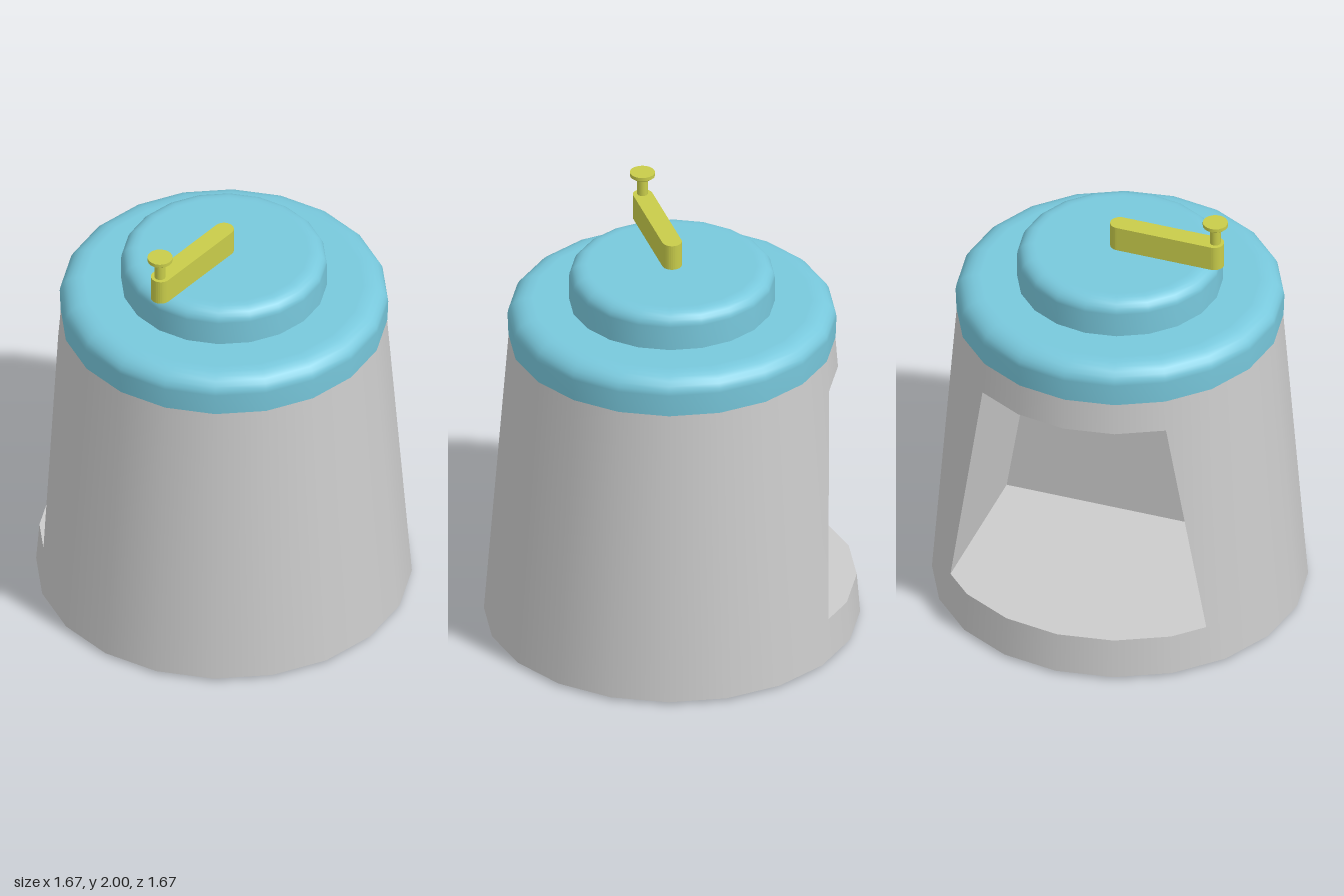
import * as THREE from 'three';

const SIDES = 20;
const grey = new THREE.MeshStandardMaterial({ color: 0xcccccc });
const blue = new THREE.MeshStandardMaterial({ color: 0x78c8dc });
const yellow = new THREE.MeshStandardMaterial({ color: 0xc8cc4a });

// Outer radius of the tapered body at a height
const radiusAt = (y) => 0.835 - 0.0786 * (y - 0.01);

function add(group, name, geometry, material, x = 0, y = 0, z = 0) {
  const mesh = new THREE.Mesh(geometry, material);
  mesh.name = name;
  mesh.position.set(x, y, z);
  group.add(mesh);
  return mesh;
}

// Full ring of the body between two heights
function frustum(y0, y1) {
  return new THREE.CylinderGeometry(radiusAt(y1), radiusAt(y0), y1 - y0, SIDES).translate(0, (y0 + y1) / 2, 0);
}

// Wall strip between two polylines of [x, z] points
function strip(low, high, y0, y1, round) {
  const pos = [];
  for (let i = 0; i < low.length - 1; i++) {
    const a = [low[i][0], y0, low[i][1]];
    const b = [low[i + 1][0], y0, low[i + 1][1]];
    const c = [high[i + 1][0], y1, high[i + 1][1]];
    const d = [high[i][0], y1, high[i][1]];
    pos.push(...a, ...b, ...c, ...a, ...c, ...d);
  }
  const geo = new THREE.BufferGeometry();
  geo.setAttribute('position', new THREE.Float32BufferAttribute(pos, 3));
  geo.computeVertexNormals();
  if (round) {
    const p = geo.attributes.position;
    const n = new THREE.Vector3();
    for (let i = 0; i < p.count; i++) {
      n.set(p.getX(i), 0, p.getZ(i)).normalize().setY(0.0786).normalize();
      geo.attributes.normal.setXYZ(i, n.x, n.y, n.z);
    }
  }
  return geo;
}

// Outline of the notched body: t slides the opening edge along one facet
function notchedOutline(y, t) {
  const r = radiusAt(y);
  const at = (k) => {
    const a = (k * Math.PI * 2) / SIDES;
    return [-r * Math.cos(a), r * Math.sin(a)];
  };
  const [p, q] = [at(2), at(3)];
  const edge = [p[0] + (q[0] - p[0]) * t, p[1] + (q[1] - p[1]) * t];
  const mirror = [edge[0], -edge[1]];
  const outer = [edge];
  for (let k = 3; k <= SIDES - 3; k++) outer.push(at(k));
  outer.push(mirror);
  const inner = [mirror, [0.19, mirror[1]], [0.19, edge[1]], edge];
  return { outer, inner };
}

// Round cap with a rolled top edge
function roundedCap(r0, r, y0, y1, bevelX, bevelY) {
  const pts = [new THREE.Vector2(r0, y0)];
  for (let i = 0; i <= 6; i++) {
    const a = (i / 6) * Math.PI / 2;
    pts.push(new THREE.Vector2(r - bevelX + bevelX * Math.cos(a), y1 - bevelY + bevelY * Math.sin(a)));
  }
  pts.push(new THREE.Vector2(r - bevelX - 0.01, y1), new THREE.Vector2(0, y1));
  return new THREE.LatheGeometry(pts, SIDES);
}

export function createModel() {
  const model = new THREE.Group();
  model.name = 'crankContainer';

  // Body: solid foot, notched middle, solid collar
  const body = new THREE.Group();
  body.name = 'body';
  model.add(body);
  const ledge = 0.2, ceiling = 1.26, rim = 1.41;
  add(body, 'foot', frustum(0.012, ledge), grey);
  add(body, 'collar', frustum(ceiling, rim), grey);
  const low = notchedOutline(ledge, 0.67);
  const high = notchedOutline(ceiling, 0);
  add(body, 'outerWall', strip(low.outer, high.outer, ledge, ceiling, true), grey);
  add(body, 'openingWalls', strip(low.inner, high.inner, ledge, ceiling, false), grey);
  const under = [new THREE.Vector2(0, 0), new THREE.Vector2(radiusAt(0.01), 0.012)];
  add(body, 'underside', new THREE.LatheGeometry(under, SIDES), grey);

  // Stepped lid
  add(model, 'lid', roundedCap(0.726, 0.73, rim, 1.595, 0.1, 0.08), blue);
  add(model, 'lidStep', roundedCap(0.457, 0.457, 1.59, 1.77, 0.07, 0.06), blue);

  // Crank arm with rounded ends
  const crank = new THREE.Group();
  crank.name = 'crank';
  model.add(crank);
  const w = 0.044, reach = 0.445;
  const shape = new THREE.Shape();
  shape.absarc(0, 0, w, 0, Math.PI, false);
  shape.absarc(0, -reach, w, Math.PI, Math.PI * 2, false);
  const arm = new THREE.ExtrudeGeometry(shape, { depth: 0.12, bevelEnabled: false, curveSegments: 8 });
  arm.rotateX(-Math.PI / 2);
  add(crank, 'arm', arm, yellow, 0, 1.77, 0);

  // Knob at the end of the arm
  add(crank, 'knobStem', new THREE.CylinderGeometry(0.024, 0.024, 0.1, 16), yellow, 0, 1.935, reach + 0.005);
  add(crank, 'knobFlare', new THREE.CylinderGeometry(0.055, 0.045, 0.01, 20), yellow, 0, 1.979, reach + 0.005);
  add(crank, 'knobCap', new THREE.CylinderGeometry(0.056, 0.056, 0.017, 20), yellow, 0, 1.9915, reach + 0.005);

  return model;
}
